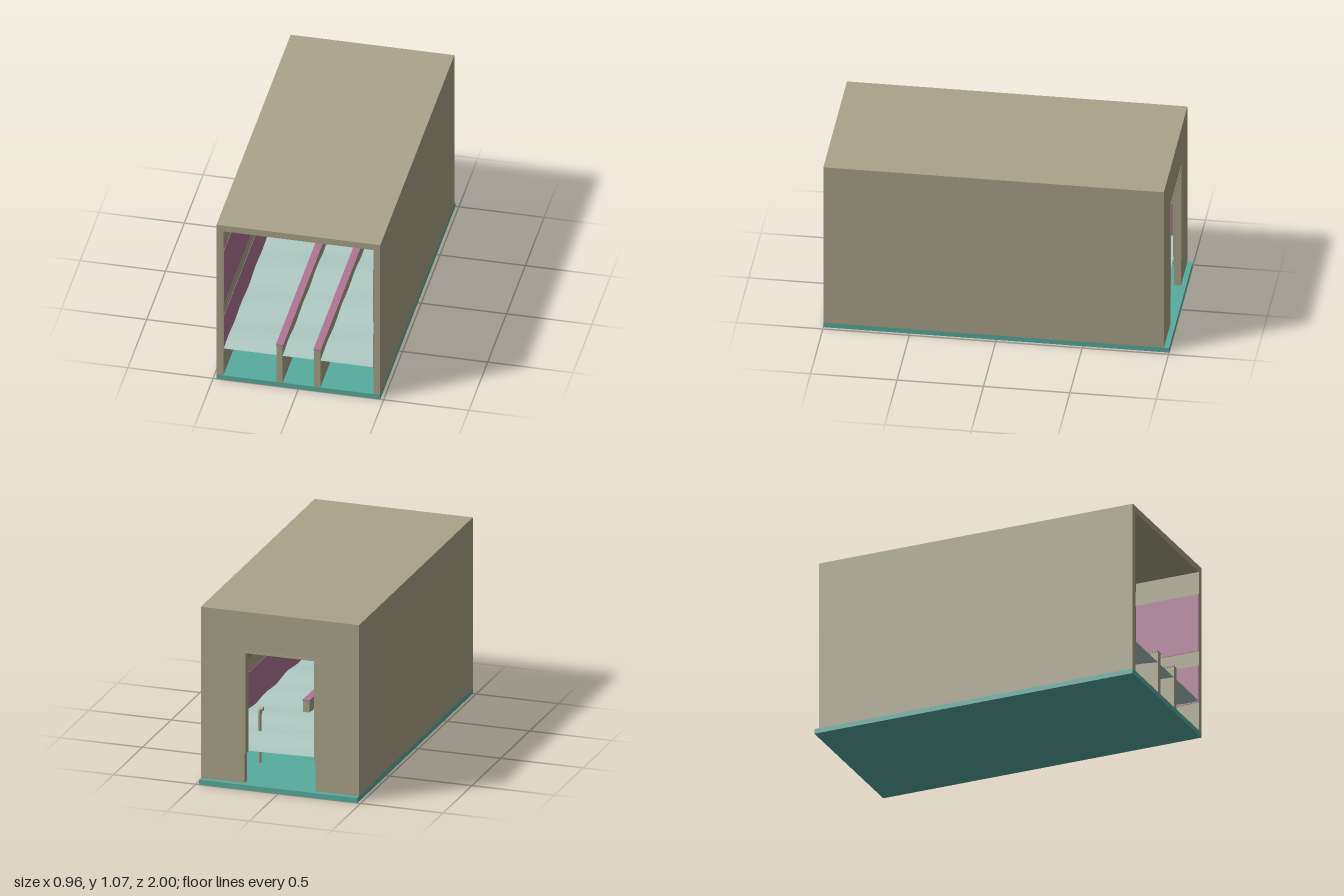
import * as THREE from 'three';

const mat = (name, color, extra = {}) => {
  const m = new THREE.MeshStandardMaterial({ color, ...extra });
  m.name = name;
  return m;
};

export function createModel() {
  const room = new THREE.Group();
  room.name = 'floodedRoom';

  const beige = mat('beige', 0xaaa489);
  const pink = mat('pink', 0xb07593);
  const teal = mat('teal', 0x58ac9f);
  const waterMat = mat('paleWater', 0xb0cbc4, { side: THREE.DoubleSide });
  const brown = mat('brown', 0x653c28);
  const blue = mat('blue', 0x6780a8);
  const paleBlue = mat('paleBlue', 0x8fabc8);

  const add = (name, geometry, material) => {
    const mesh = new THREE.Mesh(geometry, material);
    mesh.name = name;
    room.add(mesh);
    return mesh;
  };
  // Box given by its lower and upper limits on each axis
  const box = (name, material, x0, x1, y0, y1, z0, z1) => {
    const g = new THREE.BoxGeometry(x1 - x0, y1 - y0, z1 - z0);
    g.translate((x0 + x1) / 2, (y0 + y1) / 2, (z0 + z1) / 2);
    return add(name, g, material);
  };
  // The same box on either side of the centre
  const pair = (name, material, x0, x1, ...rest) => {
    box(name + 'Left', material, x0, x1, ...rest);
    box(name + 'Right', material, -x1, -x0, ...rest);
  };

  const back = -0.93; // inner face of the back wall

  // Shell: floor slab, side walls and ceiling, open at the front
  box('floor', teal, -0.48, 0.48, 0, 0.03, -1, 1);
  pair('sideWall', beige, 0.44, 0.48, 0.03, 1.07, -0.97, 1);
  box('ceiling', beige, -0.44, 0.44, 1.03, 1.07, -0.97, 1);

  // Back wall with a doorway cut out
  const wall = new THREE.Shape([
    [-0.44, 0.03], [-0.215, 0.03], [-0.215, 0.83], [0.215, 0.83],
    [0.215, 0.03], [0.44, 0.03], [0.44, 1.03], [-0.44, 1.03],
  ].map(([x, y]) => new THREE.Vector2(x, y)));
  const wallGeo = new THREE.ExtrudeGeometry(wall, { depth: 0.04, bevelEnabled: false });
  wallGeo.translate(0, 0, -0.97);
  add('backWall', wallGeo, beige);

  // Doorway trim
  pair('doorwayPost', beige, 0.207, 0.22, 0.21, 0.83, -0.973, back + 0.006);
  box('doorwayLintel', beige, -0.207, 0.207, 0.82, 0.83, -0.973, back + 0.006);

  // Painted bands around the inside
  for (const [name, y0, y1] of [['lowerBand', 0.205, 0.44], ['upperBand', 0.53, 0.89]]) {
    pair(name + 'Side', pink, 0.437, 0.44, y0, y1, back, 1);
    pair(name + 'Back', pink, 0.214, 0.437, y0, y1, back, back + 0.003);
  }

  // Rippled water sheet
  const water = new THREE.PlaneGeometry(0.88, 1.93, 20, 90);
  water.rotateX(-Math.PI / 2);
  water.translate(0, 0.22, 0.035);
  const p = water.attributes.position;
  for (let i = 0; i < p.count; i++) {
    const x = p.getX(i), z = p.getZ(i);
    p.setY(i, 0.22 + 0.006 * Math.sin(17 * z + 2.5 * x) + 0.003 * Math.sin(8 * z - 4 * x));
  }
  water.computeVertexNormals();
  add('water', water, waterMat);

  // Low divider walls with pink caps
  pair('divider', beige, 0.092, 0.129, 0.03, 0.283, -0.2, 1);
  pair('dividerCap', pink, 0.089, 0.132, 0.283, 0.291, -0.2, 1);

  // Bent pipe standing in the water
  const pipePath = new THREE.CatmullRomCurve3([
    [0.252, 0.03], [0.252, 0.18], [0.252, 0.315], [0.25, 0.34], [0.243, 0.354], [0.234, 0.355],
  ].map(([x, y]) => new THREE.Vector3(x, y, -0.6)));
  add('pipe', new THREE.TubeGeometry(pipePath, 40, 0.011, 12), beige);
  const pipeEnd = new THREE.CylinderGeometry(0.012, 0.012, 0.006, 12);
  pipeEnd.rotateZ(Math.PI / 2);
  pipeEnd.translate(0.234, 0.355, -0.6);
  add('pipeEnd', pipeEnd, beige);

  // Side door and its knob
  box('sideDoor', beige, -0.44, -0.431, 0.21, 0.78, -0.68, -0.37);
  const stem = new THREE.CylinderGeometry(0.004, 0.004, 0.012, 10);
  stem.rotateZ(Math.PI / 2);
  stem.translate(-0.426, 0.462, -0.63);
  add('knobStem', stem, waterMat);
  const knob = new THREE.CylinderGeometry(0.008, 0.008, 0.008, 14);
  knob.rotateZ(Math.PI / 2);
  knob.translate(-0.418, 0.462, -0.63);
  add('knob', knob, waterMat);

  // Sign over the doorway, with an arrow
  box('sign', brown, -0.077, 0.075, 0.884, 0.945, back, back + 0.009);
  const arrow = new THREE.Shape([
    [-0.052, 0.915], [-0.04, 0.93], [-0.04, 0.919], [-0.018, 0.919],
    [-0.018, 0.911], [-0.04, 0.911], [-0.04, 0.9],
  ].map(([x, y]) => new THREE.Vector2(x, y)));
  const arrowGeo = new THREE.ShapeGeometry(arrow);
  arrowGeo.translate(0, 0, back + 0.0105);
  add('signArrow', arrowGeo, beige);

  // Notice board with blue stripes and a raised rim
  const z = back + 0.003;
  box('noticeBoard', beige, 0.24, 0.382, 0.542, 0.764, z, z + 0.006);
  box('noticeMiddleStripe', blue, 0.243, 0.379, 0.64, 0.678, z + 0.006, z + 0.008);
  for (const y of [0.549, 0.745]) {
    box('noticeEdgeStripe', paleBlue, 0.243, 0.379, y, y + 0.011, z + 0.006, z + 0.008);
    box('noticeStripeLine', blue, 0.243, 0.375, y + 0.003, y + 0.007, z + 0.008, z + 0.009);
  }
  for (const x of [0.24, 0.379]) {
    box('noticeRimSide', beige, x, x + 0.003, 0.542, 0.764, z + 0.006, z + 0.01);
  }
  for (const y of [0.542, 0.761]) {
    box('noticeRimEdge', beige, 0.243, 0.379, y, y + 0.003, z + 0.006, z + 0.01);
  }

  return room;
}
